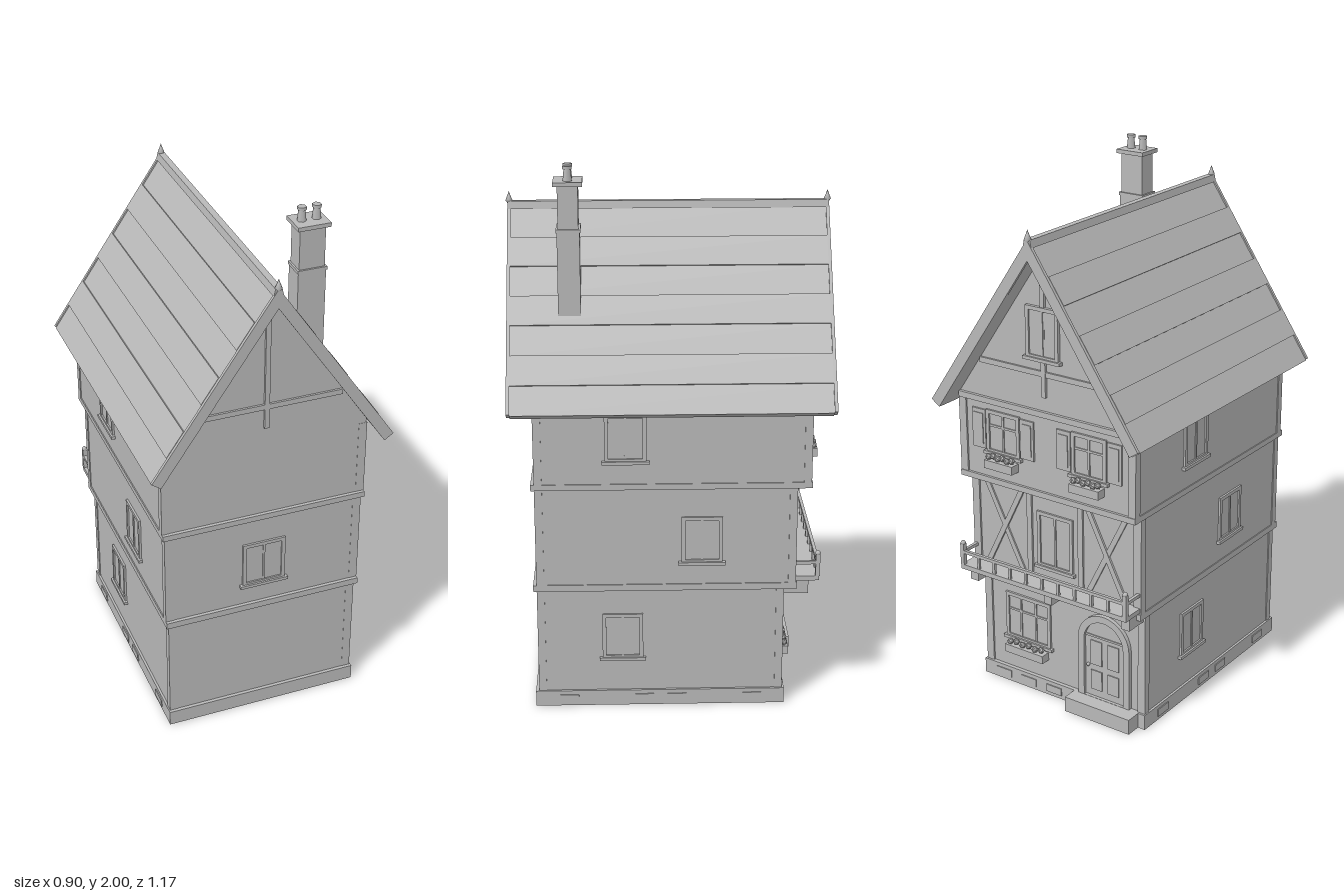
import * as THREE from 'three';

const stone = new THREE.MeshStandardMaterial({ color: 0xb8b8b8 });
stone.name = 'pale grey';

function add(parent, name, geometry, x = 0, y = 0, z = 0) {
  const mesh = new THREE.Mesh(geometry, stone);
  mesh.name = name;
  mesh.position.set(x, y, z);
  parent.add(mesh);
  return mesh;
}

// Box given by its limits on each axis
function box(parent, name, x0, x1, y0, y1, z0, z1) {
  return add(parent, name, new THREE.BoxGeometry(x1 - x0, y1 - y0, z1 - z0),
    (x0 + x1) / 2, (y0 + y1) / 2, (z0 + z1) / 2);
}

function group(parent, name, x = 0, y = 0, z = 0, turn = 0) {
  const g = new THREE.Group();
  g.name = name;
  g.position.set(x, y, z);
  g.rotation.y = turn;
  parent.add(g);
  return g;
}

// Extruded outline between two z values
function prism(parent, name, points, z0, z1) {
  const shape = new THREE.Shape(points.map(p => new THREE.Vector2(p[0], p[1])));
  const geometry = new THREE.ExtrudeGeometry(shape, { depth: z1 - z0, bevelEnabled: false });
  return add(parent, name, geometry, 0, 0, z0);
}

// Straight timber between two points on a wall
function timber(parent, name, x0, y0, x1, y1, width, z0, z1) {
  const length = Math.hypot(x1 - x0, y1 - y0);
  const mesh = add(parent, name, new THREE.BoxGeometry(length, width, z1 - z0),
    (x0 + x1) / 2, (y0 + y1) / 2, (z0 + z1) / 2);
  mesh.rotation.z = Math.atan2(y1 - y0, x1 - x0);
}

// Window facing local +z, its origin at the bottom centre
function windowUnit(parent, name, x, y, z, w, h, { turn = 0, shutters = false, bars = 1, flowers = false } = {}) {
  const g = group(parent, name, x, y, z, turn);
  const a = w / 2, t = 0.014, d = 0.008;
  box(g, 'pane', -a, a, 0, h, -0.005, 0.002);
  for (const s of [-1, 1]) {
    const c = s * (a - t / 2);
    box(g, 'frameSide', c - t / 2, c + t / 2, 0, h, 0, d);
    if (shutters) {
      const m = s * (a + 0.034);
      box(g, 'shutter', m - 0.03, m + 0.03, 0.01, h - 0.005, 0, 0.007);
      box(g, 'shutterPanel', m - 0.02, m + 0.02, 0.025, h - 0.02, 0, 0.01);
    }
  }
  box(g, 'frameTop', -a + t, a - t, h - t, h, 0, d);
  box(g, 'frameBottom', -a + t, a - t, 0, t, 0, d);
  for (let i = 1; i <= bars; i++) {
    const c = -a + w * i / (bars + 1);
    box(g, 'mullion', c - 0.004, c + 0.004, t, h - t, 0, 0.006);
  }
  if (shutters || flowers) box(g, 'transom', -a + t, a - t, h * 0.62, h * 0.62 + 0.008, 0, 0.006);
  box(g, 'sill', -a - 0.01, a + 0.01, -0.006, 0.006, -0.004, 0.015);
  if (flowers) {
    box(g, 'flowerBox', -a * 0.85, a * 0.85, -0.05, -0.018, 0, 0.04);
    for (let i = 0; i < 6; i++) {
      add(g, 'flower', new THREE.IcosahedronGeometry(0.013, 0),
        a * 0.7 * (i / 2.5 - 1), -0.008 + (i % 2) * 0.006, 0.026);
    }
  }
}

// Arched outline standing on y = base
function arch(r, spring, base) {
  const s = new THREE.Shape();
  s.moveTo(-r, base);
  s.lineTo(r, base);
  s.lineTo(r, spring);
  s.absarc(0, spring, r, 0, Math.PI, false);
  s.closePath();
  return s;
}

function door(parent, x, y, z) {
  const g = group(parent, 'door', x, y, z);
  const surround = arch(0.115, 0.235, 0);
  surround.holes.push(arch(0.088, 0.235, 0.001));
  const slab = (shape, depth) => new THREE.ExtrudeGeometry(shape, { depth, bevelEnabled: false, curveSegments: 10 });
  add(g, 'doorSurround', slab(surround, 0.016));
  add(g, 'doorLeaf', slab(arch(0.089, 0.235, 0), 0.004));
  for (const s of [-1, 1]) {
    for (const [y0, y1] of [[0.03, 0.11], [0.135, 0.235]])
      box(g, 'doorPanel', s * 0.038 - 0.025, s * 0.038 + 0.025, y0, y1, 0, 0.008);
  }
  box(g, 'doorRail', -0.088, 0.088, 0.25, 0.258, 0, 0.008);
  add(g, 'doorKnob', new THREE.SphereGeometry(0.007, 8, 6), -0.073, 0.13, 0.01);
}

function buildWalls(house) {
  box(house, 'plinth', -0.375, 0.375, 0, 0.06, -0.42, 0.505);
  const gable = [[-0.385, 0.87], [0.385, 0.87], [0.385, 1.2], [0, 1.775], [-0.385, 1.2]];
  box(house, 'groundFloor', -0.366, 0.366, 0.05, 0.48, -0.405, 0.492);
  box(house, 'middleFloor', -0.376, 0.376, 0.475, 0.875, -0.447, 0.492);
  prism(house, 'upperFloorAndGables', gable, -0.495, 0.492);
  box(house, 'lowerFloorBeam', -0.38, 0.38, 0.467, 0.492, -0.457, 0.505);
  box(house, 'upperFloorBeam', -0.389, 0.389, 0.865, 0.887, -0.505, 0.505);

  // Corner posts on each floor
  for (const [y0, y1, x, back] of [[0.06, 0.467, 0.37, -0.412], [0.492, 0.865, 0.38, -0.454], [0.887, 1.18, 0.389, -0.502]]) {
    for (const s of [-1, 1]) {
      for (const z of [back, 0.465]) {
        const c = s * (x - 0.016);
        box(house, 'cornerPost', c - 0.016, c + 0.016, y0, y1, z, z + 0.028);
      }
    }
  }

  // Stones set in the plinth
  for (const s of [-1, 1])
    for (const z of [-0.3, -0.02, 0.1, 0.38])
      box(house, 'plinthStone', s * 0.376 - 0.003, s * 0.376 + 0.003, 0.015, 0.045, z - 0.035, z + 0.035);
  for (const x of [0.28, 0.16, 0.04])
    box(house, 'plinthStone', x - 0.035, x + 0.035, 0.015, 0.045, -0.424, -0.418);

  // Side and rear windows
  const q = Math.PI / 2;
  for (const [x, y, right, left] of [[0.366, 0.19, 0.18, -0.1], [0.376, 0.575, -0.11, 0.14], [0.385, 0.97, 0.165, -0.12]]) {
    windowUnit(house, 'sideWindow', x, y, right, 0.15, 0.18, { turn: q });
    windowUnit(house, 'sideWindow', -x, y, left, 0.15, 0.18, { turn: -q });
  }
  windowUnit(house, 'plainGableWindow', 0, 0.575, 0.492, 0.165, 0.185);
}

// Timbers on a gable, facing local +z
function gableFrame(parent, z) {
  box(parent, 'kingPost', -0.009, 0.009, 1.25, 1.72, z - 0.005, z + 0.01);
  box(parent, 'collarBeam', -0.285, 0.285, 1.326, 1.346, z - 0.005, z + 0.008);
}

// The half-timbered street side, modelled facing local +z
function buildFacade(house) {
  const f = group(house, 'facade', 0, 0, 0, Math.PI);
  door(f, 0.19, 0.06, 0.405);
  box(f, 'doorStep', 0.055, 0.345, 0, 0.06, 0.41, 0.48);
  windowUnit(f, 'groundWindow', -0.165, 0.19, 0.405, 0.21, 0.19, { bars: 2, flowers: true });

  windowUnit(f, 'balconyWindow', 0, 0.56, 0.447, 0.16, 0.22, { bars: 1, flowers: false });
  for (const s of [-1, 1]) {
    box(f, 'wallPost', s * 0.115 - 0.011, s * 0.115 + 0.011, 0.492, 0.865, 0.44, 0.455);
    timber(f, 'crossBrace', s * 0.14, 0.5, s * 0.32, 0.86, 0.02, 0.44, 0.453);
    timber(f, 'crossBrace', s * 0.32, 0.5, s * 0.14, 0.86, 0.02, 0.44, 0.455);
    windowUnit(f, 'upperWindow', s * 0.19, 0.985, 0.495, 0.15, 0.165, { shutters: true, flowers: true });
  }
  box(f, 'gableBeam', -0.385, 0.385, 1.175, 1.197, 0.49, 0.507);
  gableFrame(f, 0.495);
  windowUnit(f, 'atticWindow', 0, 1.39, 0.502, 0.14, 0.19, { bars: 1 });

  // Balcony with its railing
  const b = group(f, 'balcony');
  box(b, 'balconyFloor', -0.375, 0.375, 0.498, 0.516, 0.44, 0.54);
  box(b, 'balconyRail', -0.375, 0.375, 0.562, 0.574, 0.528, 0.54);
  for (const s of [-1, 0, 1]) box(b, 'balconyBracket', s * 0.345 - 0.018, s * 0.345 + 0.018, 0.442, 0.498, 0.4, 0.502);
  for (const s of [-1, 1]) {
    box(b, 'sideRail', s * 0.369 - 0.006, s * 0.369 + 0.006, 0.562, 0.574, 0.44, 0.53);
    box(b, 'endPost', s * 0.368 - 0.008, s * 0.368 + 0.008, 0.516, 0.6, 0.526, 0.542);
    add(b, 'postCap', new THREE.SphereGeometry(0.01, 8, 6), s * 0.368, 0.604, 0.534);
  }
  for (let i = 1; i < 10; i++) {
    const x = -0.368 + i * 0.0736;
    box(b, 'baluster', x - 0.005, x + 0.005, 0.516, 0.562, 0.529, 0.539);
  }
}

function buildRoof(house) {
  const top = 1.825, slope = 1.467, k = Math.hypot(1, slope);
  const on = (x, lift) => [x + lift * slope / k, top - slope * x + lift / k];
  for (const s of [-1, 1]) {
    // Alternate raised courses of roofing
    const outer = [[0, top]];
    for (const [x0, x1] of [[0.075, 0.137], [0.2, 0.262], [0.325, 0.387]])
      outer.push(on(x0, 0), on(x0, 0.007), on(x1, 0.007), on(x1, 0));
    outer.push(on(0.448, 0), on(0.448, -0.035), [0, 1.765]);
    const flip = pts => pts.map(p => [p[0] * s, p[1]]);
    prism(house, 'roofSlope', flip(outer), -0.568, 0.568);
    const board = flip([[0, 1.835], on(0.446, 0.005), on(0.446, -0.036), [0, 1.762]]);
    for (const z of [-0.58, 0.568]) prism(house, 'bargeBoard', board, z, z + 0.012);
  }
  prism(house, 'ridgeCap', [[-0.018, 1.808], [0.018, 1.808], [0.012, 1.835], [-0.012, 1.835]], -0.578, 0.578);
  const spike = [[0, 0], [0.006, 0], [0.006, 0.018], [0.013, 0.028], [0.006, 0.045], [0, 0.062]].map(p => new THREE.Vector2(...p));
  for (const z of [-0.574, 0.574]) add(house, 'finial', new THREE.LatheGeometry(spike, 8), 0, 1.808, z);
}

function buildChimney(house) {
  const c = group(house, 'chimney', 0.198, 0, 0.357);
  box(c, 'chimneyBase', -0.051, 0.051, 1.46, 1.77, -0.04, 0.04);
  box(c, 'chimneyBand', -0.054, 0.054, 1.77, 1.782, -0.043, 0.043);
  box(c, 'chimneyShaft', -0.047, 0.047, 1.782, 1.935, -0.036, 0.036);
  box(c, 'chimneyCap', -0.06, 0.06, 1.933, 1.948, -0.051, 0.051);
  for (const x of [-0.027, 0.027]) {
    add(c, 'chimneyPot', new THREE.CylinderGeometry(0.012, 0.016, 0.04, 6), x, 1.968, 0);
    add(c, 'potRim', new THREE.CylinderGeometry(0.016, 0.016, 0.012, 6), x, 1.994, 0);
  }
}

export function createModel() {
  const house = new THREE.Group();
  house.name = 'timberHouse';
  buildWalls(house);
  gableFrame(house, 0.492);
  buildFacade(house);
  buildRoof(house);
  buildChimney(house);
  return house;
}
